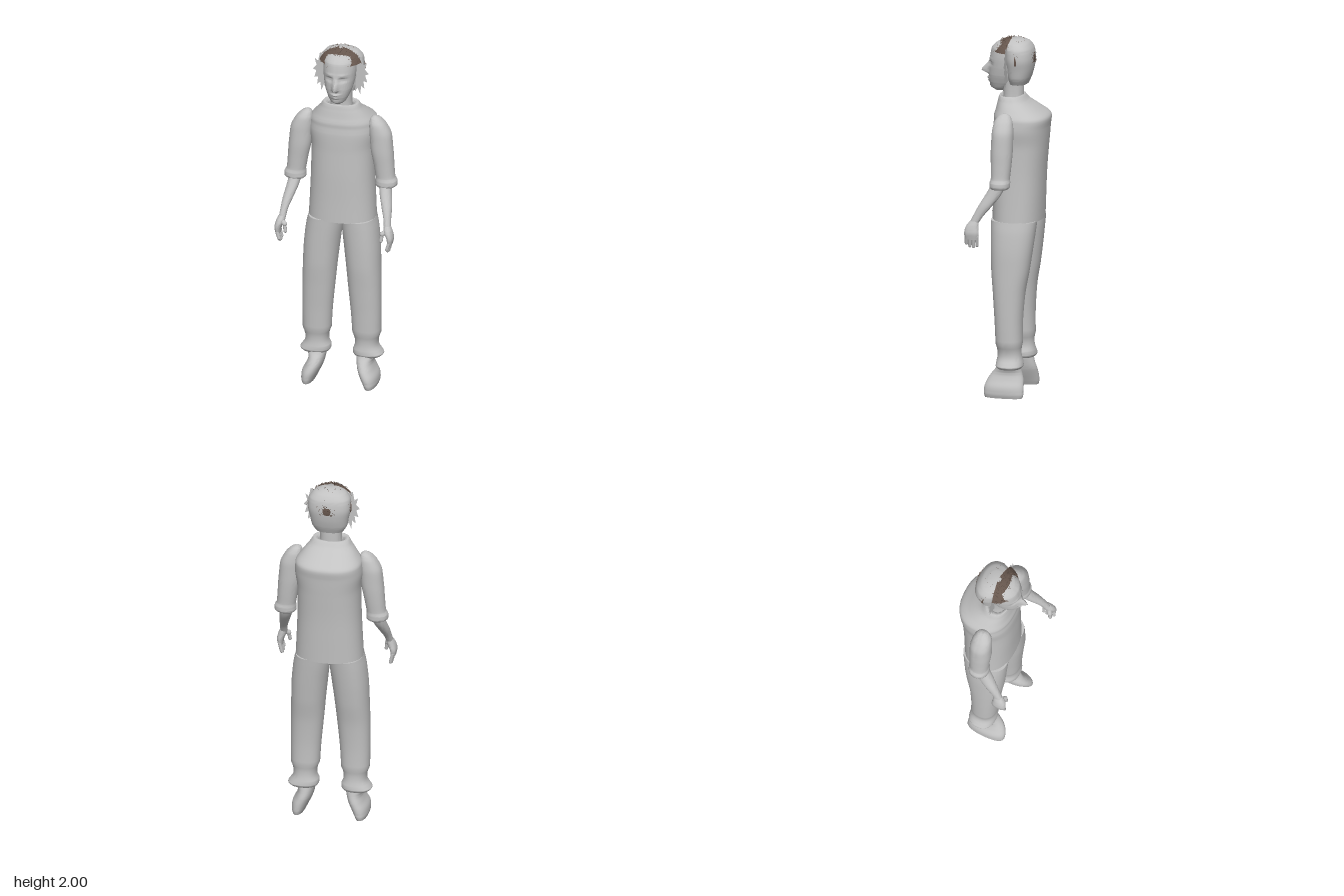
import * as THREE from 'three';
import { toCreasedNormals } from 'three/addons/utils/BufferGeometryUtils.js';

const grey = new THREE.MeshStandardMaterial({ color: 0xc2c2c2, side: THREE.DoubleSide });
grey.name = 'plain grey';
const brown = new THREE.MeshStandardMaterial({ color: 0x67574e, side: THREE.DoubleSide });
brown.name = 'hair brown';

// Closed loft through horizontal super-ellipse sections [y, cx, cz, rx, rz], lowest first.
function loft(sections, { sides = 32, rows = 32, power = 2.2, mirror = 1, rule } = {}) {
  const centres = new THREE.CatmullRomCurve3(sections.map(s => new THREE.Vector3(s[1] * mirror, s[0], s[2])));
  const radii = new THREE.CatmullRomCurve3(sections.map(s => new THREE.Vector3(s[3], 0, s[4])));
  const pos = [], index = [];
  const bend = v => Math.sign(v) * Math.abs(v) ** (2 / power);
  for (let i = 0; i <= rows; i++) {
    const c = centres.getPoint(i / rows), r = radii.getPoint(i / rows);
    for (let j = 0; j < sides; j++) {
      const a = (j / sides) * Math.PI * 2;
      const p = new THREE.Vector3(c.x + bend(Math.cos(a)) * r.x, c.y, c.z + bend(Math.sin(a)) * r.z);
      if (rule) rule(p, a);
      pos.push(p.x, p.y, p.z);
      if (i === rows) continue;
      const k = i * sides, n = (j + 1) % sides;
      index.push(k + j, k + sides + j, k + n, k + n, k + sides + j, k + sides + n);
    }
  }
  const low = pos.length / 3, top = rows * sides;
  for (const t of [0, 1]) pos.push(...centres.getPoint(t).toArray());
  for (let j = 0; j < sides; j++) {
    const n = (j + 1) % sides;
    index.push(low, j, n, low + 1, top + n, top + j);
  }
  const geo = new THREE.BufferGeometry();
  geo.setAttribute('position', new THREE.Float32BufferAttribute(pos, 3));
  geo.setIndex(index);
  return toCreasedNormals(geo, 0.9);
}

// Rounded finger between two points
function finger(from, to, radius) {
  const a = new THREE.Vector3(...from), b = new THREE.Vector3(...to);
  const geo = new THREE.CapsuleGeometry(radius, a.distanceTo(b), 4, 10);
  const turn = new THREE.Quaternion().setFromUnitVectors(new THREE.Vector3(0, 1, 0), b.clone().sub(a).normalize());
  geo.applyQuaternion(turn);
  return geo.translate((a.x + b.x) / 2, (a.y + b.y) / 2, (a.z + b.z) / 2);
}

// Point on the hair dome
function dome(phi, theta, grow = 1) {
  return new THREE.Vector3(
    -Math.cos(phi) * Math.sin(theta) * 0.127 * grow,
    1.877 + Math.cos(theta) * 0.112 * grow,
    Math.sin(phi) * Math.sin(theta) * 0.119 * grow + 0.003);
}

// Curved patch of hair
function hairPatch(phi0, phi1, theta0, theta1) {
  const geo = new THREE.SphereGeometry(1, 28, 12, phi0, phi1 - phi0, theta0, theta1 - theta0);
  geo.scale(0.127, 0.112, 0.119);
  return geo.translate(0, 1.877, 0.003);
}

// Loose flat strands lying over a patch
function strands(count, seed, phi0, phi1, theta0, theta1) {
  const rand = () => (seed = (seed * 16807) % 2147483647) / 2147483647;
  const pos = [];
  for (let i = 0; i < count; i++) {
    const phi = phi0 + (phi1 - phi0) * rand(), theta = theta0 + (theta1 - theta0) * rand();
    const a = dome(phi, theta, 1.0);
    const b = dome(phi + (rand() - 0.5) * 0.45, theta + (rand() - 0.5) * 0.3, 1.03 + rand() * 0.06);
    const side = b.clone().sub(a).cross(new THREE.Vector3(rand(), rand(), rand())).normalize().multiplyScalar(0.0025);
    pos.push(...a.clone().add(side).toArray(), ...a.clone().sub(side).toArray(), ...b.toArray());
  }
  const geo = new THREE.BufferGeometry();
  geo.setAttribute('position', new THREE.Float32BufferAttribute(pos, 3));
  geo.computeVertexNormals();
  return geo;
}

export function createModel() {
  const model = new THREE.Group();
  model.name = 'standingPerson';
  const add = (name, geo, material = grey) => {
    const mesh = new THREE.Mesh(geo, material);
    mesh.name = name;
    model.add(mesh);
  };

  // Loose shirt with sloping shoulders and an open collar
  add('shirt', loft([
    [0.98, 0, -0.027, 0.187, 0.137], [1.1, 0, -0.03, 0.181, 0.139], [1.25, 0, -0.033, 0.175, 0.143],
    [1.4, 0, -0.04, 0.174, 0.148], [1.5, 0, -0.044, 0.186, 0.152], [1.555, 0, -0.048, 0.182, 0.152],
    [1.6, 0, -0.024, 0.15, 0.118], [1.64, 0, 0.002, 0.117, 0.083], [1.672, 0, 0.012, 0.094, 0.063],
    [1.665, 0, 0.012, 0.075, 0.052], [1.63, 0, 0.01, 0.065, 0.045],
  ], { sides: 48, rows: 60, power: 2.35 }));

  // Neck
  add('neck', loft([
    [1.6, 0, 0.005, 0.068, 0.06], [1.67, 0, 0.003, 0.06, 0.056], [1.72, 0, 0.005, 0.06, 0.058], [1.8, 0, 0.01, 0.065, 0.06],
  ], { rows: 12 }));

  // Face, with nose, lips, eye sockets and chin raised or sunk by a rule
  const bump = (p, x, y, w, h) => Math.exp(-(((Math.abs(p.x) - x) / w) ** 2) - ((p.y - y) / h) ** 2);
  const features = (p, a) => {
    if (Math.sin(a) <= 0.2) return;
    const nose = p.y > 1.795 ? bump(p, 0, 1.795, 0.015, 0.042) : bump(p, 0, 1.795, 0.017, 0.013);
    p.z += nose * 0.046 + bump(p, 0, 1.757, 0.024, 0.008) * 0.012 + bump(p, 0, 1.741, 0.02, 0.007) * 0.009
      + bump(p, 0, 1.712, 0.025, 0.013) * 0.009 - bump(p, 0.036, 1.843, 0.02, 0.012) * 0.013
      + bump(p, 0.034, 1.842, 0.011, 0.005) * 0.006 + bump(p, 0.035, 1.868, 0.025, 0.008) * 0.005;
  };
  add('face', loft([
    [1.69, 0, 0.082, 0.02, 0.022], [1.705, 0, 0.075, 0.042, 0.047], [1.74, 0, 0.06, 0.061, 0.078],
    [1.78, 0, 0.05, 0.076, 0.09], [1.83, 0, 0.04, 0.086, 0.096], [1.88, 0, 0.035, 0.09, 0.098],
    [1.93, 0, 0.03, 0.088, 0.094], [1.96, 0, 0.025, 0.07, 0.07], [1.975, 0, 0.02, 0.035, 0.035],
  ], { sides: 72, rows: 72, power: 2.1, rule: features }));

  // Back of the head
  add('skull', loft([
    [1.735, 0, -0.028, 0.078, 0.05], [1.77, 0, -0.032, 0.098, 0.062], [1.82, 0, -0.035, 0.108, 0.073],
    [1.88, 0, -0.035, 0.119, 0.08], [1.93, 0, -0.03, 0.115, 0.078], [1.965, 0, -0.02, 0.088, 0.065], [1.983, 0, -0.01, 0.045, 0.04],
  ], { rows: 30, power: 2.3 }));

  // Hair in a front tuft and a back cap, with a bare band between them
  const front = [0.15, Math.PI - 0.15, 0.15, 1.2];
  const back = [Math.PI + 0.28, Math.PI * 2 - 0.28, 0.42, 1.78];
  add('frontHair', hairPatch(...front), brown);
  add('backHair', hairPatch(...back), brown);
  add('frontStrands', strands(190, 71, ...front), brown);
  add('backStrands', strands(260, 97, ...back), brown);

  for (const s of [1, -1]) {
    const side = s > 0 ? 'left' : 'right';

    // Ragged lock of hair beside the face
    const lock = new THREE.Shape([
      [0.085, 1.94], [0.118, 1.95], [0.128, 1.9], [0.148, 1.915], [0.137, 1.875], [0.158, 1.85], [0.138, 1.84],
      [0.15, 1.8], [0.128, 1.805], [0.134, 1.76], [0.115, 1.775], [0.11, 1.725], [0.096, 1.76], [0.08, 1.74],
      [0.088, 1.83],
    ].map(([x, y]) => new THREE.Vector2(x * s, y)));
    add(side + 'SideLock', new THREE.ShapeGeometry(lock).translate(0, 0, 0.02));

    // Rolled sleeve
    add(side + 'Sleeve', loft([
      [1.195, 0.255, 0.015, 0.05, 0.048], [1.205, 0.257, 0.015, 0.06, 0.056], [1.23, 0.257, 0.014, 0.059, 0.056],
      [1.25, 0.252, 0.013, 0.053, 0.052], [1.32, 0.243, 0.011, 0.056, 0.056], [1.41, 0.231, 0.01, 0.062, 0.06],
      [1.5, 0.222, 0.008, 0.061, 0.059], [1.56, 0.206, 0.008, 0.046, 0.05], [1.59, 0.195, 0.006, 0.028, 0.032],
      [1.603, 0.19, 0.005, 0.008, 0.01],
    ], { rows: 48, mirror: s }));

    // Forearm and palm
    add(side + 'Forearm', loft([
      [0.99, 0.298, 0.157, 0.019, 0.024], [1.04, 0.292, 0.13, 0.02, 0.028], [1.1, 0.279, 0.09, 0.028, 0.038],
      [1.16, 0.263, 0.05, 0.033, 0.043], [1.23, 0.25, 0.015, 0.035, 0.04],
    ], { sides: 24, rows: 20, mirror: s }));
    add(side + 'Palm', loft([
      [0.915, 0.316, 0.16, 0.013, 0.036], [0.95, 0.316, 0.16, 0.019, 0.041], [0.985, 0.305, 0.158, 0.023, 0.036],
      [1.015, 0.296, 0.148, 0.019, 0.024],
    ], { sides: 20, rows: 14, mirror: s }));

    // Four fingers and a thumb
    [0.87, 0.862, 0.866, 0.88].forEach((tip, i) => {
      const z = 0.129 + i * 0.02;
      add(side + 'Finger' + (i + 1), finger([s * 0.317, 0.93, z], [s * 0.305, tip + 0.01, z + 0.002], 0.0095));
    });
    add(side + 'ThumbBase', finger([s * 0.3, 0.99, 0.165], [s * 0.276, 0.975, 0.18], 0.014));
    add(side + 'Thumb', finger([s * 0.276, 0.975, 0.18], [s * 0.27, 0.935, 0.186], 0.01));

    // Trouser leg, flared at the cuff
    add(side + 'TrouserLeg', loft([
      [0.165, 0.148, -0.013, 0.076, 0.066], [0.178, 0.149, -0.013, 0.085, 0.075], [0.2, 0.142, -0.012, 0.079, 0.073],
      [0.3, 0.14, -0.008, 0.079, 0.073], [0.42, 0.137, -0.005, 0.083, 0.076], [0.58, 0.129, -0.005, 0.09, 0.088],
      [0.7, 0.122, -0.01, 0.094, 0.104], [0.82, 0.113, -0.016, 0.098, 0.115], [0.92, 0.102, -0.021, 0.098, 0.123],
      [0.985, 0.095, -0.024, 0.092, 0.128],
    ], { rows: 48, power: 2.3, mirror: s }));

    // Shoe, leaning outward to a narrow sole
    add(side + 'Shoe', loft([
      [0, 0.176, 0.015, 0.032, 0.105], [0.02, 0.174, 0.015, 0.04, 0.111], [0.06, 0.163, 0.015, 0.048, 0.11],
      [0.1, 0.145, 0.01, 0.046, 0.1], [0.135, 0.136, 0.003, 0.045, 0.083], [0.165, 0.138, -0.005, 0.052, 0.067],
      [0.2, 0.14, -0.008, 0.055, 0.055],
    ], { rows: 28, mirror: s }));
  }
  return model;
}
